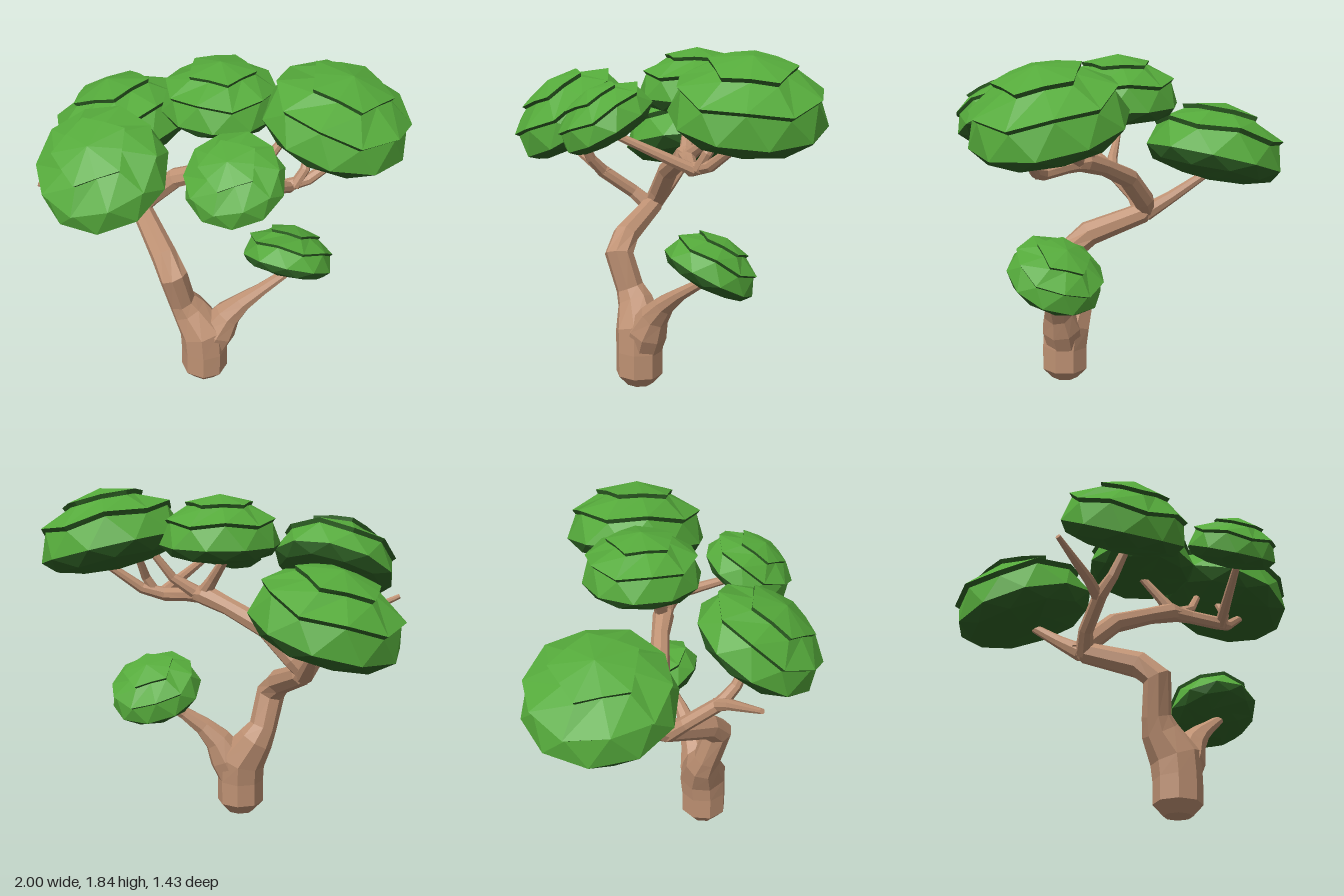
import * as THREE from 'three';

const V = (x, y, z) => new THREE.Vector3(x, y, z);

// Skins a list of equal-length rings with flat facets (rings run from top to bottom, counter-clockwise).
// slots gives the material index of each band between two rings.
function loft(rings, slots = []) {
  const pos = [], g = new THREE.BufferGeometry();
  const tri = (a, b, c) => {
    if (new THREE.Triangle(a, b, c).getArea() > 1e-9) [a, b, c].forEach(p => pos.push(p.x, p.y, p.z));
  };
  for (let k = 0; k < rings.length - 1; k++) {
    const a = rings[k], b = rings[k + 1], n = a.length, start = pos.length / 3;
    for (let i = 0; i < n; i++) {
      const j = (i + 1) % n;
      tri(a[i], b[i], a[j]);
      tri(a[j], b[i], b[j]);
    }
    if (slots.length) g.addGroup(start, pos.length / 3 - start, slots[k]);
  }
  g.setAttribute('position', new THREE.Float32BufferAttribute(pos, 3));
  g.computeVertexNormals();
  return g;
}

// Tapered limb through points [x, y, z, radius], listed from base to tip
function limbGeometry(points, sides = 8) {
  const p = points.map(q => V(q[0], q[1], q[2]));
  const u = V(1, 0, 0), rings = [];
  p.forEach((c, k) => {
    const t = V(0, 0, 0);
    if (k > 0) t.add(c.clone().sub(p[k - 1]).normalize());
    if (k < p.length - 1) t.add(p[k + 1].clone().sub(c).normalize());
    t.normalize();
    u.addScaledVector(t, -u.dot(t)).normalize();
    const w = t.clone().cross(u);
    const ring = r => Array.from({ length: sides }, (_, i) => {
      const a = (i + 0.5) / sides * Math.PI * 2;
      return c.clone().addScaledVector(u, Math.cos(a) * r).addScaledVector(w, Math.sin(a) * r);
    });
    if (k === 0) rings.push(ring(0));
    rings.push(ring(points[k][3]));
    if (k === p.length - 1) rings.push(ring(0));
  });
  return loft(rings.reverse());
}

// Unit leaf dome of three overlapping tiers; each row: even radius, even y, odd radius, odd y, turn
function canopyGeometry() {
  const rows = [
    [0, 0.82, 0, 0.82, 0],
    [0.60, 0.68, 0.49, 0.70, 0],       // top tier edge
    [0.57, 0.62, 0.46, 0.64, 0],       // dark ledge under it
    [0.95, 0.37, 0.93, 0.44, 0],       // middle tier edge
    [0.90, 0.31, 0.88, 0.38, 0],       // dark ledge under it
    [1.01, 0, 1.01, 0, 0.5],           // widest rim
    [0.87, -0.16, 0.85, -0.18, 1],     // dark underside
    [0.50, -0.27, 0.42, -0.27, 1],
    [0, -0.31, 0, -0.31, 1],
  ];
  const rings = rows.map(([r0, y0, r1, y1, turn]) => Array.from({ length: 10 }, (_, i) => {
    const a = (i + turn) * Math.PI / 5, odd = i % 2;
    const r = odd ? r1 : r0;
    return V(Math.sin(a) * r, odd ? y1 : y0, Math.cos(a) * r);
  }));
  return loft(rings, [0, 1, 0, 1, 0, 1, 1, 1]);
}

export function createModel() {
  const tree = new THREE.Group();
  tree.name = 'tree';
  const bark = new THREE.MeshStandardMaterial({ color: 0xbe9173 });
  bark.name = 'bark brown';
  const leaf = new THREE.MeshStandardMaterial({ color: 0x55aa3b });
  leaf.name = 'leaf green';
  const shade = new THREE.MeshStandardMaterial({ color: 0x2f6225 });
  shade.name = 'dark leaf green';

  // Trunk and branches
  const limbs = {
    trunk: [[0.1, 0.01, 0.105, 0.075], [0.1, 0.07, 0.105, 0.13], [0.1, 0.2, 0.105, 0.13],
      [0.09, 0.32, 0.1, 0.135], [0.0, 0.45, 0.11, 0.1], [-0.03, 0.52, 0.135, 0.078],
      [-0.05, 0.71, 0.19, 0.08], [-0.13, 0.79, 0.14, 0.072], [-0.36, 0.9, -0.05, 0.06], [-0.4, 0.95, -0.08, 0.04]],
    lowBranch: [[0.11, 0.2, 0.09, 0.1], [0.16, 0.33, 0.07, 0.11], [0.21, 0.43, 0.04, 0.08],
      [0.28, 0.51, 0, 0.055], [0.37, 0.59, -0.06, 0.037], [0.5, 0.7, -0.17, 0.024]],
    mainBranch: [[-0.4, 0.9, -0.06, 0.05], [-0.33, 0.99, -0.09, 0.058], [-0.18, 1.14, -0.11, 0.056],
      [0.04, 1.24, -0.13, 0.048], [0.18, 1.29, -0.13, 0.058], [0.24, 1.29, -0.13, 0.042]],
    centreBranch: [[0.2, 1.28, -0.13, 0.045], [0.12, 1.38, -0.15, 0.03], [0, 1.53, -0.19, 0.022]],
    rightBranch: [[0.17, 1.29, -0.13, 0.05], [0.3, 1.28, -0.12, 0.038], [0.45, 1.265, -0.1, 0.038],
      [0.56, 1.3, -0.17, 0.03], [0.74, 1.46, -0.3, 0.02]],
    rightUpperTwig: [[0.5, 1.27, -0.12, 0.03], [0.54, 1.36, -0.16, 0.026], [0.53, 1.48, -0.24, 0.02]],
    rightInnerTwig: [[0.22, 1.29, -0.13, 0.04], [0.34, 1.38, -0.2, 0.026], [0.42, 1.52, -0.27, 0.02]],
    rightFrontBranch: [[0.48, 1.265, -0.11, 0.032], [0.46, 1.31, -0.01, 0.03], [0.4, 1.44, 0.27, 0.02]],
    leftBackBranch: [[-0.38, 0.9, -0.06, 0.05], [-0.47, 1, -0.18, 0.035], [-0.62, 1.17, -0.36, 0.02]],
    leftFrontBranch: [[-0.37, 0.89, -0.05, 0.05], [-0.4, 0.98, 0.05, 0.04], [-0.39, 1.11, 0.23, 0.038],
      [-0.35, 1.19, 0.3, 0.03], [-0.3, 1.34, 0.37, 0.022]],
    leftFrontTwig: [[-0.38, 1.09, 0.2, 0.036], [-0.47, 1.15, 0.28, 0.03], [-0.7, 1.27, 0.44, 0.014]],
  };
  for (const [name, points] of Object.entries(limbs)) {
    const mesh = new THREE.Mesh(limbGeometry(points), bark);
    mesh.name = name;
    tree.add(mesh);
  }

  // Leaf canopies: [name, x, y, z, radius, tilt about x, turn, tilt about z] in degrees
  const dome = canopyGeometry();
  [
    ['leftBackCanopy', -0.625, 1.215, -0.34, 0.386, 0, 180, 18],
    ['rightBackCanopy', 0.62, 1.54, -0.335, 0.386, 0, 180, -15],
    ['centreCanopy', 0.03, 1.58, -0.22, 0.31, 0, 180, 0],
    ['leftFrontCanopy', -0.33, 1.405, 0.385, 0.338, 32, 0, 0],
    ['rightFrontCanopy', 0.35, 1.485, 0.3, 0.25, 30, 0, 0],
    ['lowCanopy', 0.46, 0.725, -0.19, 0.25, -28, 180, 0],
  ].forEach(([name, x, y, z, r, ...tilt]) => {
    const mesh = new THREE.Mesh(dome, [leaf, shade]);
    mesh.name = name;
    mesh.position.set(x, y, z);
    mesh.scale.setScalar(r);
    mesh.rotation.set(...tilt.map(THREE.MathUtils.degToRad), 'XZY');
    tree.add(mesh);
  });
  return tree;
}
